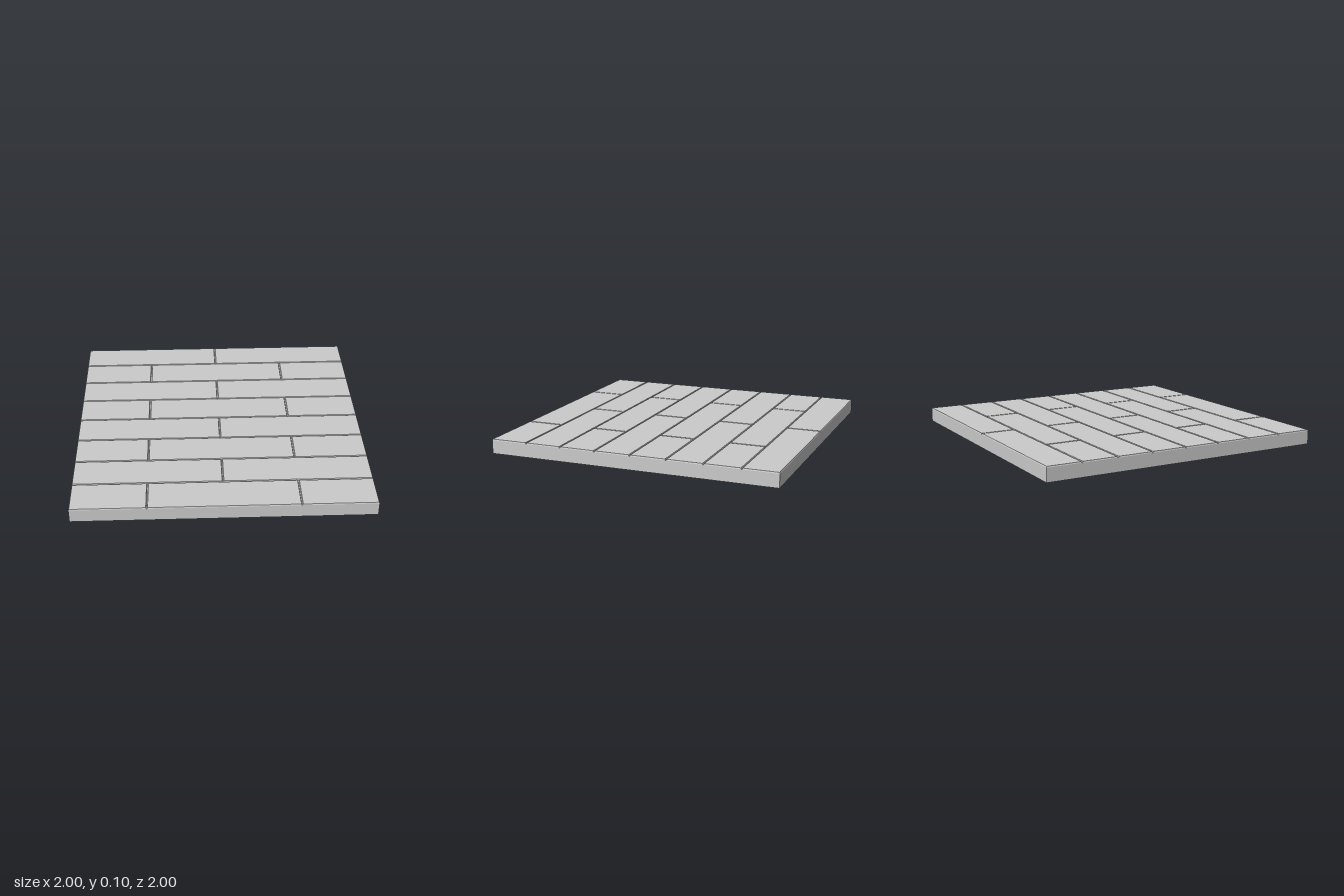
import * as THREE from 'three';

const TOP = 0.1;      // walking surface
const BED = 0.092;    // floor of the grooves
const GAP = 0.006;    // groove width at its floor
const BEVEL = 0.003;  // plank edges lean inward by this much

const material = new THREE.MeshStandardMaterial({ color: 0xcccccc, flatShading: true });

// Thin plank whose upper corners are drawn in to give a slightly bevelled edge
function makePlank(x0, x1, z0, z1) {
  const w = x1 - x0, d = z1 - z0, h = TOP - BED;
  const geometry = new THREE.BoxGeometry(w, h, d);
  const p = geometry.attributes.position;
  for (let i = 0; i < p.count; i++) {
    if (p.getY(i) > 0) {
      p.setX(i, p.getX(i) - Math.sign(p.getX(i)) * BEVEL);
      p.setZ(i, p.getZ(i) - Math.sign(p.getZ(i)) * BEVEL);
    }
  }
  geometry.computeVertexNormals();
  const plank = new THREE.Mesh(geometry, material);
  plank.name = 'plank';
  plank.position.set((x0 + x1) / 2, BED + h / 2, (z0 + z1) / 2);
  return plank;
}

export function createModel() {
  const model = new THREE.Group();
  model.name = 'plankFloor';

  // Solid slab under the planks
  const slab = new THREE.Mesh(new THREE.BoxGeometry(2, BED, 2), material);
  slab.name = 'slab';
  slab.position.y = BED / 2;
  model.add(slab);

  // Eight rows from back to front, with the joints staggered in every other row
  const rows = 8;
  const seam = (k) => (k === 0 ? -1 : k === rows ? 1 : -0.759 + (k - 1) * 0.2503);
  for (let r = 0; r < rows; r++) {
    const row = new THREE.Group();
    row.name = 'plankRow';
    const z0 = seam(r) + (r > 0 ? GAP / 2 : 0);
    const z1 = seam(r + 1) - (r < rows - 1 ? GAP / 2 : 0);
    const joints = r % 2 === 0 ? [-1, 0, 1] : [-1, -0.5, 0.5, 1];
    for (let j = 0; j < joints.length - 1; j++) {
      const x0 = joints[j] + (j > 0 ? GAP / 2 : 0);
      const x1 = joints[j + 1] - (j < joints.length - 2 ? GAP / 2 : 0);
      row.add(makePlank(x0, x1, z0, z1));
    }
    model.add(row);
  }
  return model;
}
